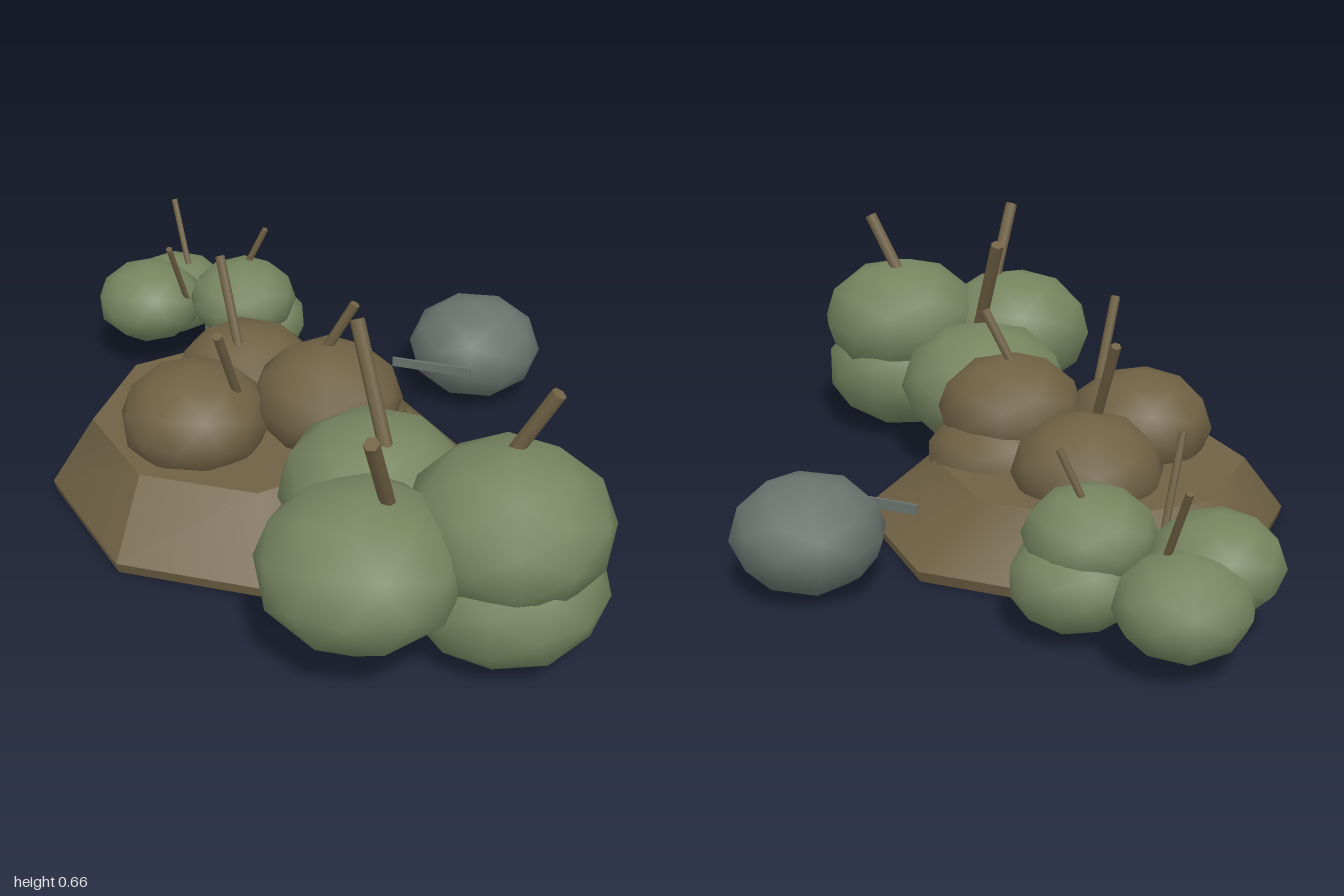
import * as THREE from 'three';

export function createModel() {
  const model = new THREE.Group();
  const mat = (name, color) => {
    const m = new THREE.MeshStandardMaterial({ color });
    m.name = name;
    return m;
  };
  const green = mat('leaf green', 0x76845f);
  const brown = mat('earth brown', 0x6f6144);
  const grey = mat('stone grey', 0x69726d);

  const add = (parent, name, geometry, material) => {
    const mesh = new THREE.Mesh(geometry, material);
    mesh.name = name;
    parent.add(mesh);
    return mesh;
  };

  // Flattened low-poly ball with smooth normals, turned about y for variety
  const blob = (parent, name, [x, y, z], r, ry, turn, material) => {
    const g = new THREE.IcosahedronGeometry(1, 1);
    g.rotateY(turn).scale(r, ry, r);
    add(parent, name, g, material).position.set(x, y, z);
  };

  // Thin straight stem between two points
  const stem = (parent, a, b, r) => {
    const from = new THREE.Vector3(...a), to = new THREE.Vector3(...b);
    const dir = to.clone().sub(from);
    const mesh = add(parent, 'stem', new THREE.CylinderGeometry(r, r, dir.length(), 6), brown);
    mesh.position.copy(from).add(to).multiplyScalar(0.5);
    mesh.quaternion.setFromUnitVectors(new THREE.Vector3(0, 1, 0), dir.normalize());
  };

  // Octagonal mound: short upright rim, sloping sides, flat top leaning to -x
  const mound = new THREE.Group();
  mound.name = 'mound';
  mound.position.set(-0.12, 0, 0.11);
  model.add(mound);
  const slope = new THREE.CylinderGeometry(0.4, 0.555, 0.155, 8);
  const p = slope.attributes.position;
  for (let i = 0; i < p.count; i++) if (p.getY(i) > 0) p.setX(i, p.getX(i) - 0.06);
  slope.computeVertexNormals();
  add(mound, 'moundSlope', slope, brown).position.y = 0.11;
  add(mound, 'moundRim', new THREE.CylinderGeometry(0.555, 0.548, 0.028, 8), brown).position.y = 0.019;

  // Three bushes: four balls and three stems each
  const bushes = [
    {
      name: 'largeBush', material: green, r: 0.236, ry: 0.18, stemR: 0.018,
      balls: [[0.35, 0.235, 0.25], [0.76, 0.34, 0.31], [0.555, 0.29, 0.58], [0.76, 0.188, 0.315]],
      stems: [
        [[0.42, 0.36, 0.295], [0.28, 0.655, 0.235]],
        [[0.59, 0.4, 0.52], [0.63, 0.655, 0.65]],
        [[0.7, 0.42, 0.29], [0.82, 0.655, 0.245]],
      ],
    },
    {
      name: 'brownBush', material: brown, r: 0.193, ry: 0.146, stemR: 0.013,
      balls: [[-0.27, 0.215, -0.005], [0.05, 0.285, 0.05], [-0.195, 0.245, 0.285], [0.04, 0.17, -0.005]],
      stems: [
        [[-0.235, 0.31, 0.06], [-0.347, 0.55, 0.005]],
        [[-0.085, 0.32, 0.24], [-0.05, 0.55, 0.35]],
        [[0.02, 0.38, 0.05], [0.105, 0.55, 0.01]],
      ],
    },
    {
      name: 'smallBush', material: green, r: 0.156, ry: 0.117, stemR: 0.009,
      balls: [[-0.845, 0.16, -0.345], [-0.565, 0.23, -0.33], [-0.815, 0.2, -0.195], [-0.565, 0.14, -0.375]],
      stems: [
        [[-0.79, 0.24, -0.345], [-0.885, 0.44, -0.39]],
        [[-0.685, 0.22, -0.22], [-0.65, 0.44, -0.115]],
        [[-0.59, 0.29, -0.355], [-0.525, 0.44, -0.39]],
      ],
    },
  ];
  for (const b of bushes) {
    const bush = new THREE.Group();
    bush.name = b.name;
    b.balls.forEach((c, i) => blob(bush, 'foliage', c, b.r, b.ry, i * 0.9 + 0.3, b.material));
    b.stems.forEach(([from, to]) => stem(bush, from, to, b.stemR));
    model.add(bush);
  }

  // Loose boulder with a thin sliver of stone beside it
  blob(model, 'boulder', [0.05, 0.146, -0.64], 0.188, 0.142, 0.5, grey);
  const sliver = add(model, 'stoneSliver', new THREE.BoxGeometry(0.225, 0.026, 0.008), grey);
  sliver.position.set(0.045, 0.16, -0.43);
  sliver.rotation.y = Math.atan2(0.08, 0.21);

  return model;
}
